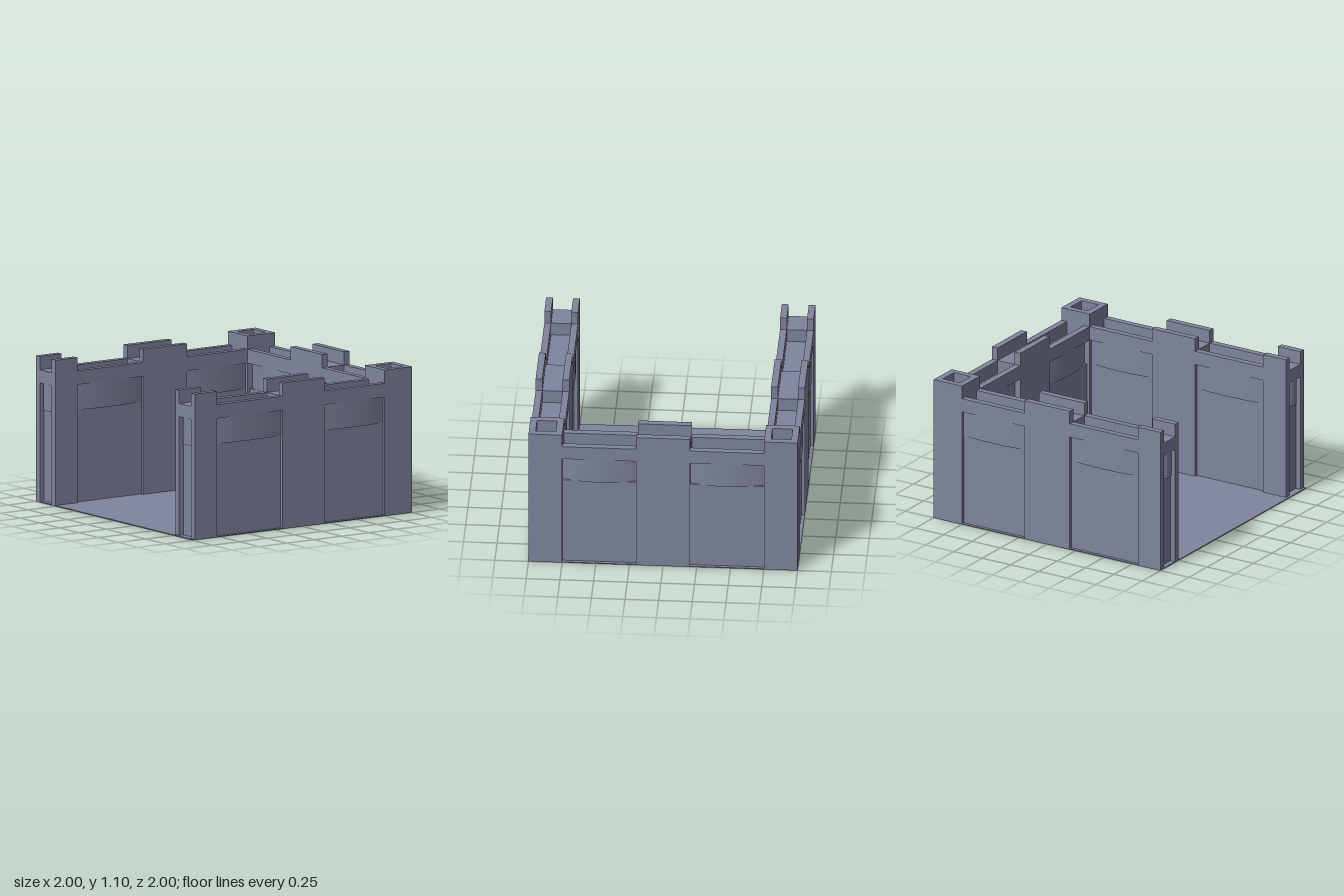
import * as THREE from 'three';
import { mergeVertices } from 'three/addons/utils/BufferGeometryUtils.js';

const T = 0.25, RIM = 0.05, INSET = 0.025; // wall thickness, parapet thickness, panel recess
const WALK = 0.9, TOP = 1.0, MERLON = 1.1, SILL = 0.7;

export function createModel() {
  const stone = new THREE.MeshStandardMaterial({ color: 0x80859e });
  stone.name = 'blueGreyStone';
  const model = new THREE.Group();
  model.name = 'ruinedRoom';

  // Box given by its limits
  function block(parent, name, x0, x1, y0, y1, z0, z1) {
    const mesh = new THREE.Mesh(new THREE.BoxGeometry(x1 - x0, y1 - y0, z1 - z0), stone);
    mesh.position.set((x0 + x1) / 2, (y0 + y1) / 2, (z0 + z1) / 2);
    mesh.name = name;
    parent.add(mesh);
    return mesh;
  }

  // Band with a rounded front, its flat back on z = 0
  function band(parent, width, depth) {
    const g = new THREE.BoxGeometry(width, WALK - SILL, depth, 20, 1, 1);
    const p = g.attributes.position;
    for (let i = 0; i < p.count; i++) {
      const t = p.getX(i) / (width / 2);
      p.setZ(i, p.getZ(i) > 0 ? depth * (0.06 + 0.92 * (1 - t * t)) : 0);
    }
    g.computeVertexNormals();
    const mesh = new THREE.Mesh(g, stone);
    mesh.name = 'roundedBand';
    parent.add(mesh);
    return mesh;
  }

  // Recessed bay: panel, rounded band on both faces, two low parapets
  function bay(wall, u0, u1, bandDepth) {
    const h = T / 2, p = h - INSET, c = h - bandDepth;
    block(wall, 'panel', u0, u1, 0, SILL, -p, p);
    block(wall, 'bandCore', u0, u1, SILL, WALK, -c, c);
    for (const s of [-1, 1]) {
      const b = band(wall, u1 - u0, bandDepth);
      b.position.set((u0 + u1) / 2, (SILL + WALK) / 2, s * c);
      if (s < 0) b.rotation.y = Math.PI;
      block(wall, 'parapet', u0, u1, WALK, TOP, s > 0 ? h - RIM : -h, s > 0 ? h : RIM - h);
    }
    // walkway slab closing the gap above the recess
    block(wall, 'walkway', u0, u1, WALK - 0.005, WALK, -h, h);
  }

  function merlons(wall, u0, u1) {
    const h = T / 2;
    block(wall, 'merlon', u0, u1, TOP, MERLON, h - RIM, h);
    block(wall, 'merlon', u0, u1, TOP, MERLON, -h, RIM - h);
  }

  function pier(wall, u0, u1) {
    block(wall, 'pier', u0, u1, 0, TOP, -T / 2, T / 2);
    merlons(wall, u0, u1);
  }

  // Pier at the open end, with a narrow recessed panel in its end face
  function endPier(wall, u0, u1) {
    const h = T / 2, r = h - RIM, ui = u1 - 0.04;
    block(wall, 'endPier', u0, ui, 0, TOP, -h, h);
    block(wall, 'endStrip', ui, u1, 0, TOP, r, h);
    block(wall, 'endStrip', ui, u1, 0, TOP, -h, -r);
    block(wall, 'endLintel', ui, u1, WALK, TOP, -r, r);
    const b = band(wall, 2 * r, 0.04);
    b.position.set(ui, (SILL + WALK) / 2, 0);
    b.rotation.y = Math.PI / 2;
    merlons(wall, u0, u1);
  }

  function wallGroup(name, x, z, turn) {
    const wall = new THREE.Group();
    wall.name = name;
    wall.position.set(x, 0, z);
    wall.rotation.y = turn;
    model.add(wall);
    return wall;
  }

  // Floor
  block(model, 'floor', -1, 1, 0, 0.006, -1, 1);

  // Back wall
  const back = wallGroup('backWall', 0, -0.875, 0);
  bay(back, -0.75, -0.2, 0.05);
  bay(back, 0.2, 0.75, 0.05);
  pier(back, -0.2, 0.2);

  // Side walls, the left one slightly shorter
  for (const [name, x, cut] of [['rightWall', -0.875, 0], ['leftWall', 0.875, 0.02]]) {
    const side = wallGroup(name, x, 0, -Math.PI / 2);
    bay(side, -0.75, -0.2, INSET);
    pier(side, -0.2, 0.2 - cut);
    bay(side, 0.2 - cut, 0.8 - cut, INSET);
    endPier(side, 0.8 - cut, 1 - cut);
  }

  // Hollow-topped corner towers
  for (const s of [-1, 1]) {
    const tower = wallGroup('cornerTower', s * 0.875, -0.875, 0);
    const h = T / 2, r = h - RIM;
    block(tower, 'towerBody', -h, h, 0, TOP, -h, h);
    block(tower, 'towerRim', -h, h, TOP, MERLON, r, h);
    block(tower, 'towerRim', -h, h, TOP, MERLON, -h, -r);
    block(tower, 'towerRim', r, h, TOP, MERLON, -r, r);
    block(tower, 'towerRim', -h, -r, TOP, MERLON, -r, r);
  }

  // Rubble: softly shaded stones with tapered sides
  function rubble(x, z, size, height, turn) {
    let g = new THREE.BoxGeometry(size, height, size);
    const p = g.attributes.position;
    for (let i = 0; i < p.count; i++) {
      if (p.getY(i) > 0) {
        p.setX(i, p.getX(i) * 0.72);
        p.setZ(i, p.getZ(i) * 0.72);
      }
    }
    g.deleteAttribute('normal');
    g.deleteAttribute('uv');
    g = mergeVertices(g);
    g.computeVertexNormals();
    const mesh = new THREE.Mesh(g, stone);
    mesh.position.set(x, height / 2 + 0.001, z);
    mesh.rotation.y = turn;
    mesh.name = 'rubbleStone';
    model.add(mesh);
  }

  // x, z, size, height, turn; the same scatter repeats one unit along x
  const stones = [
    [-0.655, -0.65, 0.31, 0.03, -0.26], [-0.475, -0.3, 0.2, 0.05, 0.24],
    [-0.34, -0.52, 0.1, 0.025, 0.2], [-0.43, -0.63, 0.05, 0.02, 0],
    [-0.24, -0.74, 0.1, 0.03, 0.3], [-0.22, -0.36, 0.1, 0.028, -0.2],
    [-0.715, -0.34, 0.1, 0.028, 0], [-0.13, -0.14, 0.055, 0.015, 0.2],
    [-0.855, -0.2, 0.1, 0.018, 0.25],
  ];
  for (const dx of [0, 1]) {
    for (const [x, z, size, height, turn] of stones) {
      if (Math.abs(x + dx) < 0.8) rubble(x + dx, z, size, height, turn);
    }
  }
  return model;
}
